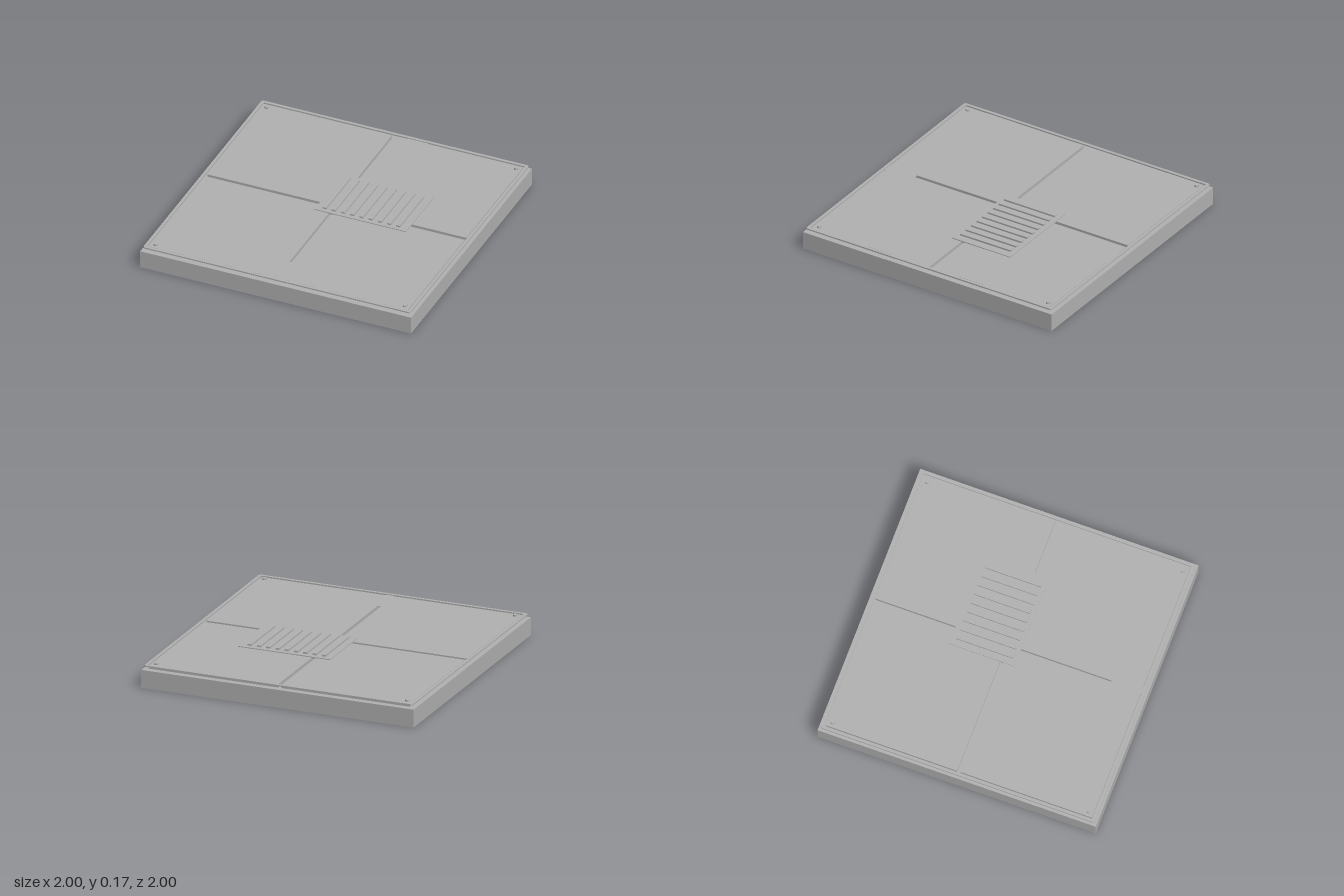
import * as THREE from 'three';

export function createModel() {
  const model = new THREE.Group();
  model.name = 'floorTile';
  const metal = new THREE.MeshStandardMaterial({ color: 0xb2b2b2 });
  metal.name = 'grey metal';

  // Box given by its low and high limits on each axis
  const box = (name, x0, x1, y0, y1, z0, z1, parent = model) => {
    const mesh = new THREE.Mesh(new THREE.BoxGeometry(x1 - x0, y1 - y0, z1 - z0), metal);
    mesh.name = name;
    mesh.position.set((x0 + x1) / 2, (y0 + y1) / 2, (z0 + z1) / 2);
    parent.add(mesh);
    return mesh;
  };

  // Thick slab
  box('baseSlab', -1, 1, 0, 0.128, -1, 1);

  // Four panels with a cross-shaped groove, and a bolt in each outer corner
  const inner = 0.013, outer = 0.956, panelTop = 0.152;
  for (const sx of [-1, 1]) {
    for (const sz of [-1, 1]) {
      const limits = (s) => (s > 0 ? [inner, outer] : [-outer, -inner]);
      const [x0, x1] = limits(sx);
      const [z0, z1] = limits(sz);
      box('panel', x0, x1, 0.128, panelTop, z0, z1);

      const bolt = new THREE.Mesh(new THREE.CylinderGeometry(0.015, 0.015, 0.014, 12), metal);
      bolt.name = 'cornerBolt';
      bolt.position.set(0.92 * sx, 0.157, 0.92 * sz);
      model.add(bolt);
    }
  }

  // Thin raised rim with clipped corners, hanging slightly above the slab
  const outline = (target, h, c) => {
    const corners = [[-h + c, -h], [h - c, -h], [h, -h + c], [h, h - c],
      [h - c, h], [-h + c, h], [-h, h - c], [-h, -h + c]];
    target.setFromPoints(corners.map(([x, y]) => new THREE.Vector2(x, y)));
    return target;
  };
  const rimShape = outline(new THREE.Shape(), 0.986, 0.01);
  rimShape.holes.push(outline(new THREE.Path(), 0.965, 0.004));
  const rimGeometry = new THREE.ExtrudeGeometry(rimShape, { depth: 0.01, bevelEnabled: false });
  rimGeometry.rotateX(-Math.PI / 2);
  const rim = new THREE.Mesh(rimGeometry, metal);
  rim.name = 'rim';
  rim.position.y = 0.148;
  model.add(rim);

  // Small strips closing the grooves
  box('frontGrooveCover', -inner, inner, 0.148, panelTop, 0.74, outer);
  box('frontRimBridge', -inner, 0.045, 0.148, panelTop, outer, 0.966);
  box('backRimBridge', 0.1, 0.25, 0.148, panelTop, -0.966, -outer);

  // Off-centre vent: a plate with nine raised bars
  const vent = new THREE.Group();
  vent.name = 'vent';
  model.add(vent);
  box('ventPlate', -0.12, 0.556, 0.146, 0.158, -0.38, 0.09, vent);
  for (let i = 0; i < 9; i++) {
    const x = -0.058 + i * 0.068;
    box('ventBar', x - 0.014, x + 0.014, 0.156, 0.17, -0.345, 0.062, vent);
  }

  return model;
}
